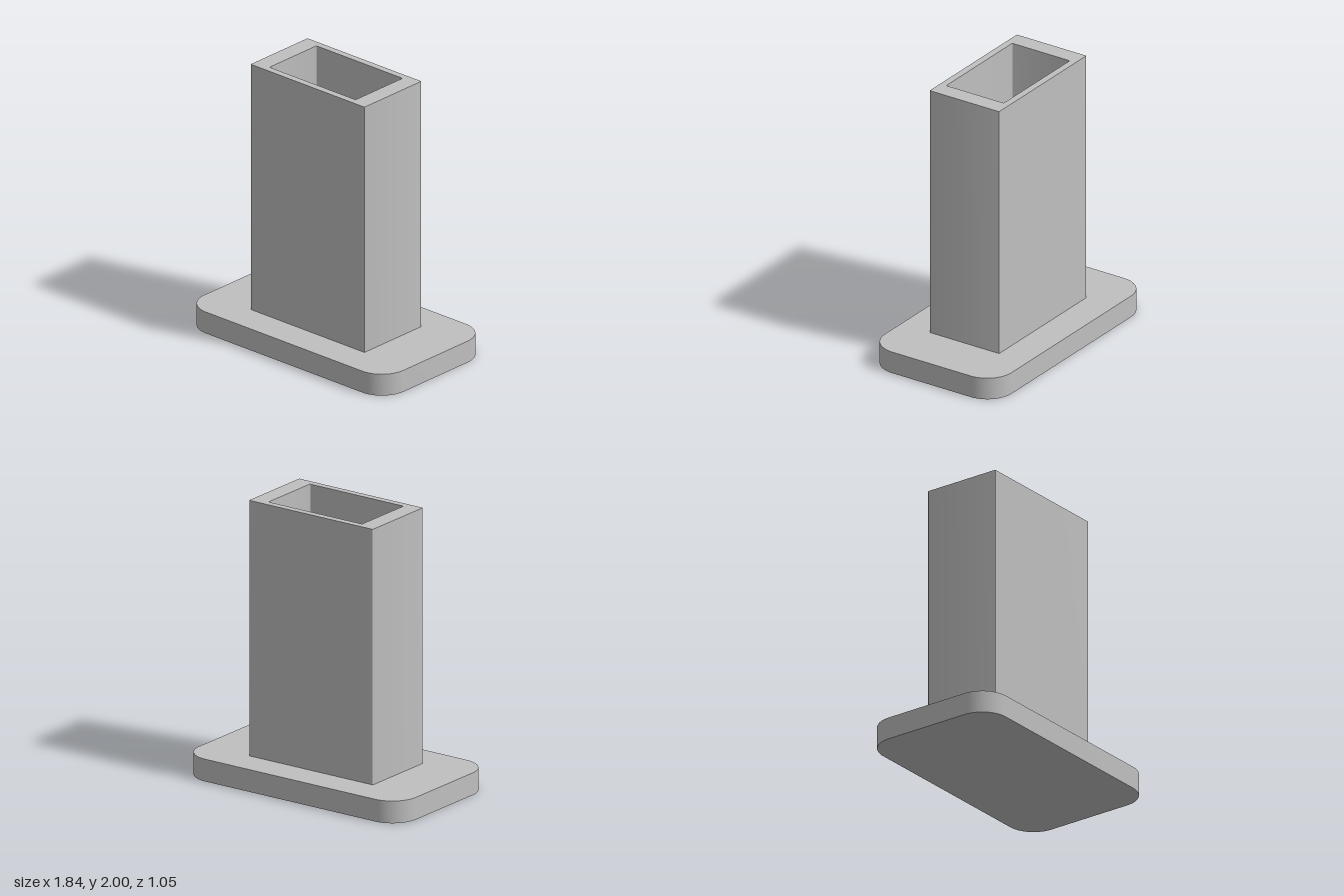
import * as THREE from 'three';
import { toCreasedNormals } from 'three/addons/utils/BufferGeometryUtils.js';

// Trace a rounded rectangle, given half sizes and corner radius
function roundedRect(path, hx, hz, r) {
  path.moveTo(hx, -hz + r);
  path.lineTo(hx, hz - r);
  path.absarc(hx - r, hz - r, r, 0, Math.PI / 2);
  path.absarc(-hx + r, hz - r, r, Math.PI / 2, Math.PI);
  path.absarc(-hx + r, -hz + r, r, Math.PI, Math.PI * 1.5);
  path.absarc(hx - r, -hz + r, r, Math.PI * 1.5, Math.PI * 2);
  return path;
}

// Extrude a plan outline upwards from y0 to y1
function upright(name, shape, y0, y1, material) {
  const extruded = new THREE.ExtrudeGeometry(shape, {
    depth: y1 - y0, bevelEnabled: false, curveSegments: 16,
  });
  extruded.rotateX(-Math.PI / 2).translate(0, y0, 0);
  const mesh = new THREE.Mesh(toCreasedNormals(extruded, Math.PI / 6), material);
  mesh.name = name;
  return mesh;
}

export function createModel() {
  const grey = new THREE.MeshStandardMaterial({ color: 0xbfbfbf });
  grey.name = 'plain grey';

  const group = new THREE.Group();
  group.name = 'socketOnBase';

  // Flat base plate with large rounded corners
  const plate = roundedRect(new THREE.Shape(), 0.92, 0.525, 0.2);
  group.add(upright('basePlate', plate, 0, 0.16, grey));

  // Rectangular tube, open at the top, closed below by the plate
  const tube = roundedRect(new THREE.Shape(), 0.525, 0.288, 0.005);
  tube.holes.push(roundedRect(new THREE.Path(), 0.397, 0.238, 0.008));
  group.add(upright('hollowColumn', tube, 0.16, 2, grey));

  return group;
}
